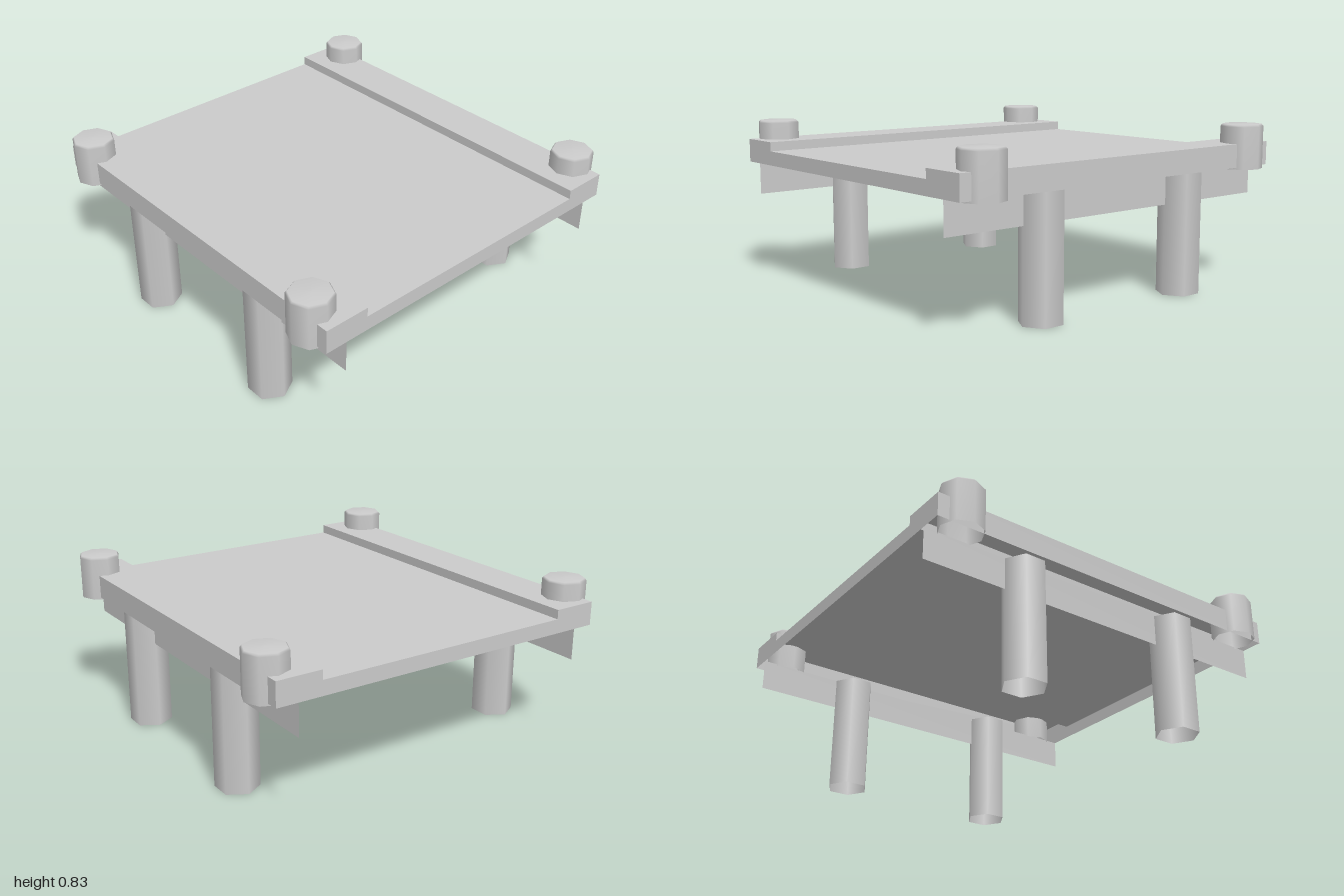
import * as THREE from 'three';

export function createModel() {
  const model = new THREE.Group();
  const material = new THREE.MeshStandardMaterial({ color: 0xcccccc, side: THREE.DoubleSide });
  const add = (name, geometry, x = 0, y = 0, z = 0, parent = model) => {
    const mesh = new THREE.Mesh(geometry, material);
    mesh.name = name;
    mesh.position.set(x, y, z);
    parent.add(mesh);
    return mesh;
  };

  // Deck: a shell open underneath, with a raised curb along each side
  const profile = [
    [-0.91, 0.615], [-0.91, 0.735], [-0.68, 0.735], [-0.68, 0.688],
    [0.68, 0.688], [0.68, 0.735], [0.91, 0.735], [0.91, 0.615],
  ].map(([x, y]) => new THREE.Vector2(x, y));
  const deck = new THREE.Group();
  deck.name = 'deck';
  model.add(deck);
  for (let i = 0; i < profile.length - 1; i++) {
    const a = profile[i], b = profile[i + 1];
    const panel = new THREE.PlaneGeometry(a.distanceTo(b), 2)
      .rotateX(-Math.PI / 2)
      .rotateZ(Math.atan2(b.y - a.y, b.x - a.x));
    add('deckPanel', panel, (a.x + b.x) / 2, (a.y + b.y) / 2, 0, deck);
  }
  const end = new THREE.ShapeGeometry(new THREE.Shape(profile));
  add('deckFrontEnd', end, 0, 0, 1, deck);
  // mirrored about x, so the profile keeps its shape and faces back
  add('deckBackEnd', end, 0, 0, -1, deck).rotation.y = Math.PI;

  // Supports: thin side beams, hexagonal posts and octagonal bollards
  const beam = new THREE.PlaneGeometry(2, 0.16).rotateY(Math.PI / 2);
  const post = new THREE.CylinderGeometry(0.108, 0.108, 0.615, 6, 1, true);
  const bollard = new THREE.LatheGeometry([
    [0.108, 0.605], [0.108, 0.82], [0.099, 0.831], [0, 0.834],
  ].map(([r, y]) => new THREE.Vector2(r, y)), 8);

  for (const side of [1, -1]) {
    const label = side > 0 ? 'left' : 'right';
    add(label + 'Beam', beam, side * 0.8, 0.535, 0);
    for (const dir of [1, -1]) {
      const place = label + (dir > 0 ? 'Front' : 'Back');
      add(place + 'Post', post, side * 0.797, 0.3075, dir * 0.46);
      add(place + 'Bollard', bollard, side * 0.866, 0, dir * 0.85);
    }
  }
  return model;
}
